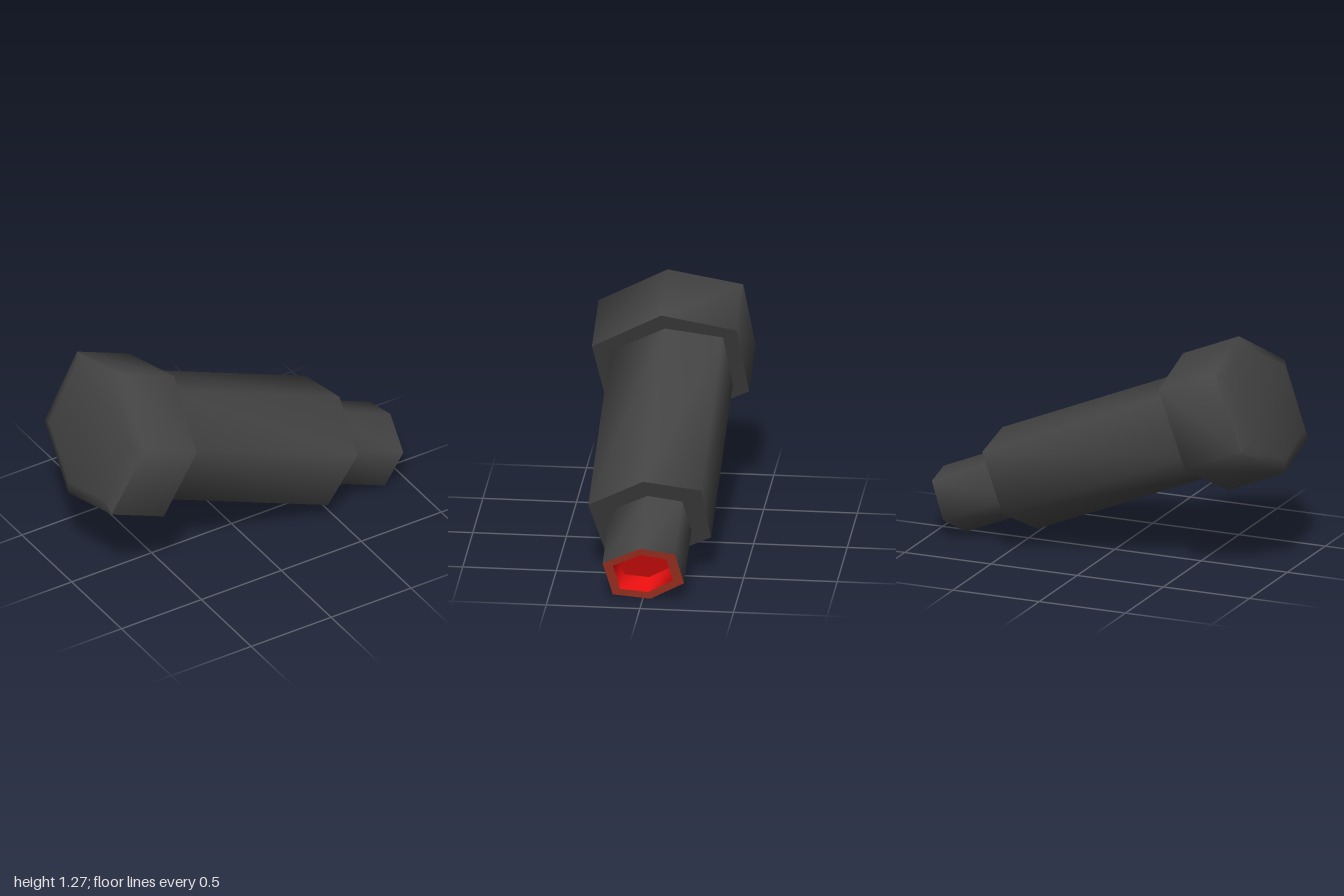
import * as THREE from 'three';
import { toCreasedNormals } from 'three/addons/utils/BufferGeometryUtils.js';

const material = (name, color) => {
  const m = new THREE.MeshStandardMaterial({ color });
  m.name = name;
  return m;
};

// Irregular six-sided cross-sections as [z, height] pairs around the axis
const headHex = [[0.415, 0.133], [0.035, 0.382], [-0.365, 0.293], [-0.413, -0.155], [-0.035, -0.382], [0.35, -0.295]];
const bodyHex = [[0.32, 0.1], [0.02, 0.287], [-0.29, 0.238], [-0.328, -0.106], [-0.02, -0.285], [0.24, -0.25]];
const tipHex = [[0.205, 0.065], [0, 0.184], [-0.185, 0.152], [-0.225, -0.06], [-0.04, -0.184], [0.16, -0.163]];

// Loft a hexagon through [axial position, scale] stations
function loft(hex, stations, capStart, capEnd) {
  const points = [], faces = [];
  for (const [t, s] of stations) for (const [z, v] of hex) points.push(t, v * s, z * s);
  for (let k = 0; k < stations.length - 1; k++) {
    for (let i = 0; i < 6; i++) {
      const j = (i + 1) % 6, a = k * 6 + i, b = k * 6 + j;
      faces.push(a, a + 6, b, b, a + 6, b + 6);
    }
  }
  const last = (stations.length - 1) * 6;
  for (let i = 1; i < 5; i++) {
    if (capStart) faces.push(0, i, i + 1);
    if (capEnd) faces.push(last, last + i + 1, last + i);
  }
  const g = new THREE.BufferGeometry();
  g.setAttribute('position', new THREE.Float32BufferAttribute(points, 3));
  g.setIndex(faces);
  return toCreasedNormals(g, 1.4);
}

export function createModel() {
  const grey = material('dark grey', 0x444444);
  const rimRed = material('rim brick red', 0xb83a28);
  const red = material('bright red', 0xf01010);

  const tool = new THREE.Group();
  tool.name = 'barrel';
  const add = (name, geometry, mat) => {
    const mesh = new THREE.Mesh(geometry, mat);
    mesh.name = name;
    tool.add(mesh);
  };

  // Wide head with a shallow bevel on its back
  add('head', loft(headHex, [[-1.176, 0.82], [-1.145, 1], [-0.792, 1]], true, true), grey);
  // Main shaft and narrow nose
  add('shaft', loft(bodyHex, [[-0.82, 1], [0.377, 1]], false, true), grey);
  add('nose', loft(tipHex, [[0.35, 1], [0.78, 1]], false, false), grey);
  // Rim and hollow at the open end
  add('rim', loft(tipHex, [[0.78, 1], [0.779, 0.74]], false, false), rimRed);
  add('hollow', loft(tipHex, [[0.779, 0.74], [0.68, 0.66]], false, true), red);

  // Tilt the axis downwards towards +x
  const angle = -0.398;
  tool.rotation.z = angle;
  tool.position.set(-0.524 * Math.sin(angle), 0.524 * Math.cos(angle), 0);

  const model = new THREE.Group();
  model.name = 'model';
  model.add(tool);
  return model;
}
